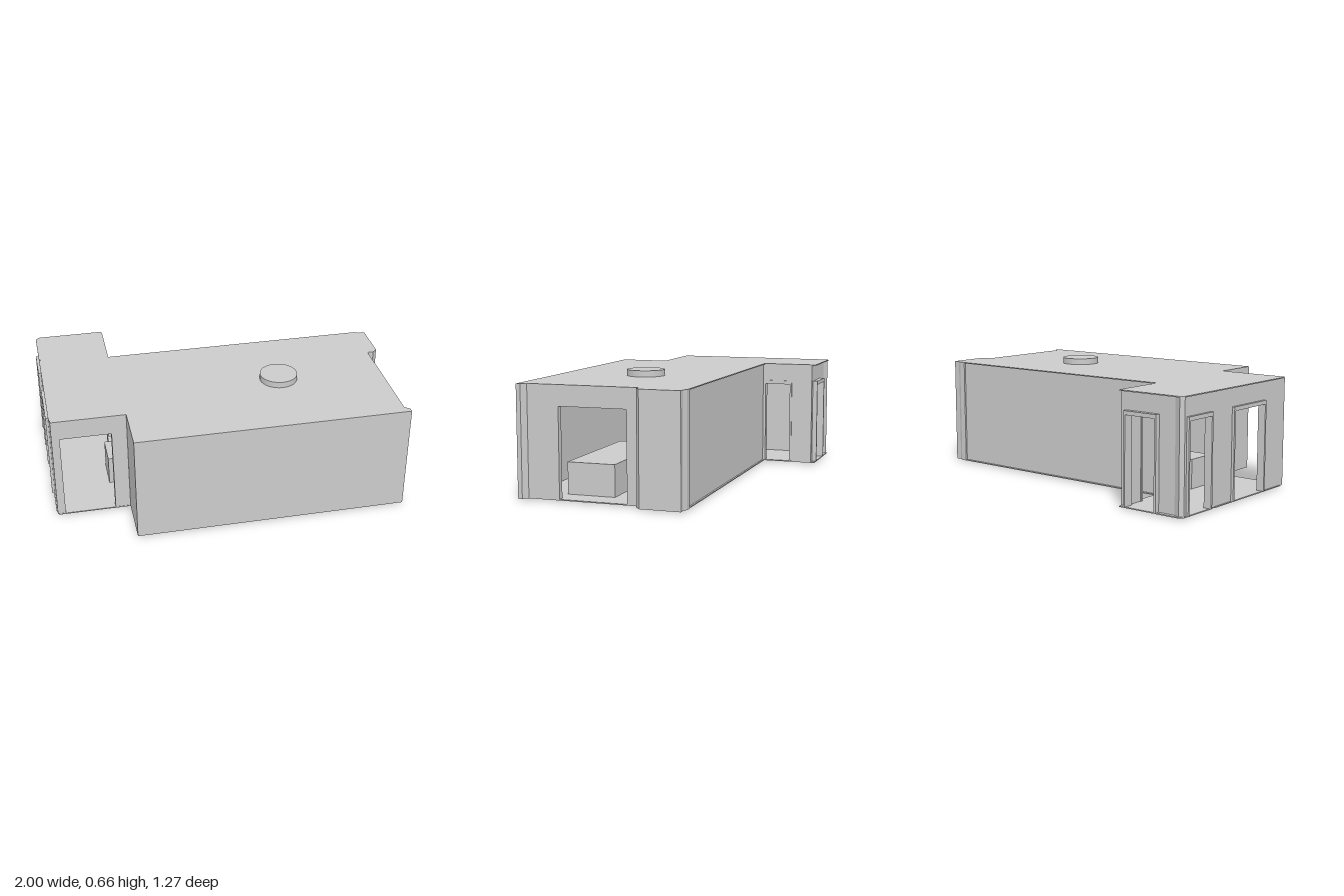
import * as THREE from 'three';

const material = new THREE.MeshStandardMaterial({ color: 0xcccccc, flatShading: true, side: THREE.DoubleSide });
const FLOOR = 0.01, ROOF = 0.625, HEAD = 0.51;

export function createModel() {
  const model = new THREE.Group();

  const add = (name, geometry) => {
    const mesh = new THREE.Mesh(geometry, material);
    mesh.name = name;
    model.add(mesh);
    return mesh;
  };
  const box = (name, x0, x1, y0, y1, z0, z1) => {
    const mesh = add(name, new THREE.BoxGeometry(x1 - x0, y1 - y0, z1 - z0));
    mesh.position.set((x0 + x1) / 2, (y0 + y1) / 2, (z0 + z1) / 2);
    return mesh;
  };
  // Plan outline [x, z] raised from y0 to y1
  const prism = (name, plan, y0, y1) => {
    const shape = new THREE.Shape(plan.map(([x, z]) => new THREE.Vector2(x, -z)));
    const geometry = new THREE.ExtrudeGeometry(shape, { depth: y1 - y0, bevelEnabled: false });
    geometry.rotateX(-Math.PI / 2);
    add(name, geometry).position.y = y0;
  };
  // Wall from a to b along one axis, c0 to c1 thick, with door openings [start, end]
  const wall = (name, axis, a, b, c0, c1, openings = []) => {
    const piece = (part, s, e, y0) => axis === 'x'
      ? box(part, s, e, y0, ROOF - 0.005, c0, c1)
      : box(part, c0, c1, y0, ROOF - 0.005, s, e);
    let start = a;
    for (const [s, e] of openings) {
      piece(name, start, s, FLOOR);
      piece(name + 'Header', s, e, HEAD);
      start = e;
    }
    piece(name, start, b, FLOOR);
  };
  // Thin door frame: two jambs and a lintel
  const frame = (name, axis, a, b, c0, c1) => {
    const w = 0.012;
    for (const [s, e, y0] of [[a, a + w, FLOOR], [b - w, b, FLOOR], [a, b, HEAD - w]]) {
      if (axis === 'x') box(name, s, e, y0, HEAD + 0.01, c0, c1);
      else box(name, c0, c1, y0, HEAD + 0.01, s, e);
    }
  };

  // Floor and roof share one stepped plan
  const plan = [
    [-0.97, -0.635], [-0.59, -0.635], [-0.585, -0.61], [-0.585, -0.31],
    [0.94, -0.31], [0.965, -0.297], [1, -0.297], [1, -0.07], [0.975, -0.048], [0.94, -0.048],
    [0.94, 0.585], [0.968, 0.61], [0.968, 0.635], [-0.57, 0.635], [-0.57, 0.35],
    [-0.98, 0.35], [-0.99, 0.31], [-0.99, -0.34], [-0.98, -0.35], [-0.99, -0.36], [-0.99, -0.61],
  ];
  prism('floor', plan, 0.006, FLOOR + 0.002);
  prism('roof', plan, ROOF - 0.006, ROOF);

  // Main room walls
  wall('frontWall', 'x', -0.57, 0.94, 0.605, 0.635);
  wall('backWall', 'x', -0.585, 0.95, -0.3, -0.27);
  wall('rightWall', 'z', -0.05, 0.605, 0.905, 0.94, [[0.02, 0.405]]);
  wall('stepWall', 'z', 0.35, 0.635, -0.57, -0.54);

  // Corner columns at the right end
  prism('rightBackColumn', [[0.905, -0.31], [0.94, -0.31], [0.965, -0.297], [1, -0.297],
    [1, -0.07], [0.975, -0.048], [0.905, -0.048]], FLOOR, ROOF - 0.003);
  prism('rightFrontColumn', [[0.905, 0.585], [0.94, 0.585], [0.968, 0.61], [0.968, 0.635], [0.905, 0.635]],
    FLOOR, ROOF - 0.003);

  // Entrance wing walls
  wall('entranceFrontWall', 'x', -0.985, -0.57, 0.315, 0.348, [[-0.94, -0.655]]);
  wall('entranceLeftWall', 'z', -0.6, 0.34, -0.985, -0.955, [[-0.585, -0.385], [-0.175, 0.13]]);
  wall('entranceBackWall', 'x', -0.96, -0.585, -0.612, -0.58, [[-0.82, -0.63]]);
  wall('entranceSideWall', 'z', -0.606, -0.28, -0.615, -0.585, [[-0.478, -0.312]]);
  prism('chamferedCorner', [[-0.985, -0.575], [-0.985, -0.608], [-0.968, -0.63], [-0.93, -0.612], [-0.93, -0.58]],
    FLOOR, ROOF - 0.003);

  // Door frames
  frame('backDoorFrame', 'x', -0.83, -0.618, -0.64, -0.58);
  frame('sideDoorFrame', 'z', -0.485, -0.305, -0.62, -0.58);
  frame('leftRearDoorFrame', 'z', -0.592, -0.378, -1, -0.955);
  frame('leftFrontDoorFrame', 'z', -0.182, 0.135, -1, -0.955);

  // Round extractor hood through the roof
  const hood = add('hood', new THREE.CylinderGeometry(0.107, 0.107, 0.3, 32));
  hood.position.set(0.34, 0.51, 0.14);

  // Counters, table and seats
  box('islandCounter', 0.05, 0.8, FLOOR, 0.19, 0.145, 0.42);
  box('backCounter', -0.1, 0.63, FLOOR, 0.18, -0.27, -0.19);
  box('table', -0.66, -0.33, FLOOR, 0.18, -0.08, 0.105);
  for (const [x0, x1] of [[-0.63, -0.5], [-0.475, -0.345]]) {
    box('seat', x0, x1, 0, 0.145, 0.115, 0.17);
    box('seat', x0, x1, 0, 0.145, -0.19, -0.1);
  }

  return model;
}
